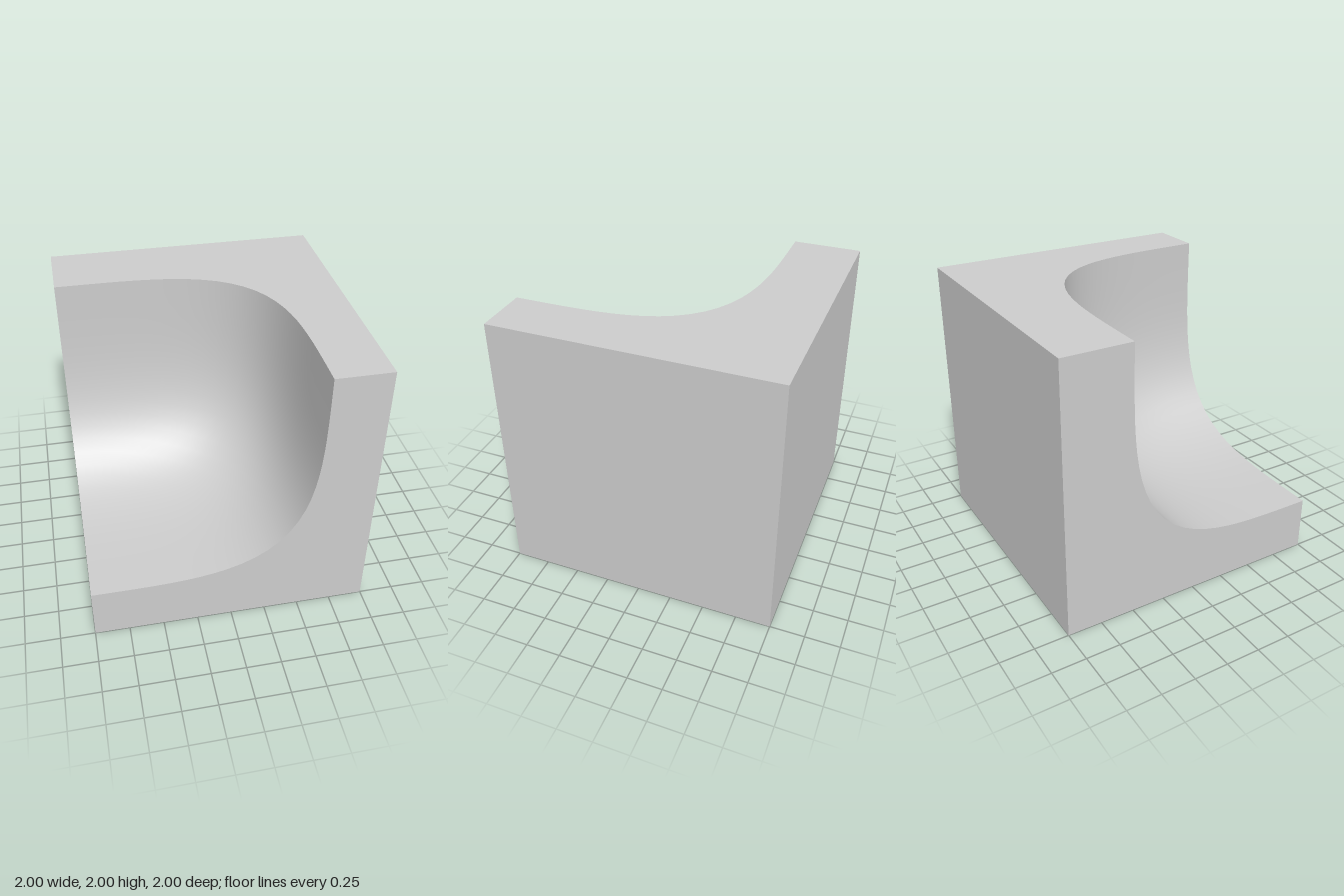
import * as THREE from 'three';

const SEG = 28;                 // steps along each quarter curve
const P = 3.8;                  // squareness of the scooped hollow
const SIZE = { x: 1.6, y: 1.6, z: 1.5 }; // reach of the hollow into the block

const material = new THREE.MeshStandardMaterial({ color: 0xcccccc });

// scale a direction on to the unit superellipsoid
function squared(a, b, c = 0) {
  const r = (a ** P + b ** P + c ** P) ** (1 / P);
  return [a / r, b / r, c / r];
}
const cos = (i) => Math.max(0, Math.cos((i / SEG) * Math.PI / 2));
const sin = (i) => Math.sin((i / SEG) * Math.PI / 2);

// square face with a rounded notch at the corner (sx, sy)
function notchedFace(sx, sy, a, b) {
  const pts = [[sx, -sy], [-sx, -sy], [-sx, sy]].map(([x, y]) => new THREE.Vector2(x, y));
  for (let i = 0; i <= SEG; i++) {
    const [u, v] = squared(cos(i), sin(i));
    pts.push(new THREE.Vector2(sx * (1 - a * u), sy * (1 - b * v)));
  }
  return new THREE.ShapeGeometry(new THREE.Shape(pts));
}

// one octant of a superellipsoid, facing its centre at the open corner
function hollowGeometry() {
  const pos = [], nor = [], idx = [];
  const n = new THREE.Vector3();
  for (let i = 0; i <= SEG; i++) {
    for (let j = 0; j <= SEG; j++) {
      const [u, v, w] = squared(sin(i) * cos(j), cos(i), sin(i) * sin(j));
      pos.push(-1 + SIZE.x * u, 2 - SIZE.y * v, 1 - SIZE.z * w);
      n.set(-(u ** (P - 1)) / SIZE.x, v ** (P - 1) / SIZE.y, w ** (P - 1) / SIZE.z).normalize();
      nor.push(n.x, n.y, n.z);
      if (i < SEG && j < SEG) {
        const a = i * (SEG + 1) + j, b = a + SEG + 1;
        if (i > 0) idx.push(a, b, a + 1);
        idx.push(b, b + 1, a + 1);
      }
    }
  }
  const g = new THREE.BufferGeometry();
  g.setAttribute('position', new THREE.Float32BufferAttribute(pos, 3));
  g.setAttribute('normal', new THREE.Float32BufferAttribute(nor, 3));
  g.setIndex(idx);
  return g;
}

export function createModel() {
  const group = new THREE.Group();
  group.name = 'scoopedBlock';
  const H = Math.PI / 2;

  // place a 2 x 2 face one unit out from the block's centre
  function addFace(name, geometry, rx, ry) {
    const mesh = new THREE.Mesh(geometry, material);
    mesh.name = name;
    mesh.rotation.set(rx, ry, 0);
    mesh.position.set(0, 0, 1).applyEuler(mesh.rotation);
    mesh.position.y += 1;
    group.add(mesh);
  }

  // notched faces around the open corner
  addFace('frontFace', notchedFace(-1, 1, SIZE.x, SIZE.y), 0, 0);
  addFace('topFace', notchedFace(-1, -1, SIZE.x, SIZE.z), -H, 0);
  addFace('rightFace', notchedFace(1, 1, SIZE.z, SIZE.y), 0, -H);

  // plain faces
  addFace('leftFace', new THREE.PlaneGeometry(2, 2), 0, H);
  addFace('backFace', new THREE.PlaneGeometry(2, 2), 0, Math.PI);
  addFace('bottomFace', new THREE.PlaneGeometry(2, 2), H, 0);

  // smooth scooped hollow
  const hollow = new THREE.Mesh(hollowGeometry(), material);
  hollow.name = 'hollow';
  group.add(hollow);
  return group;
}
